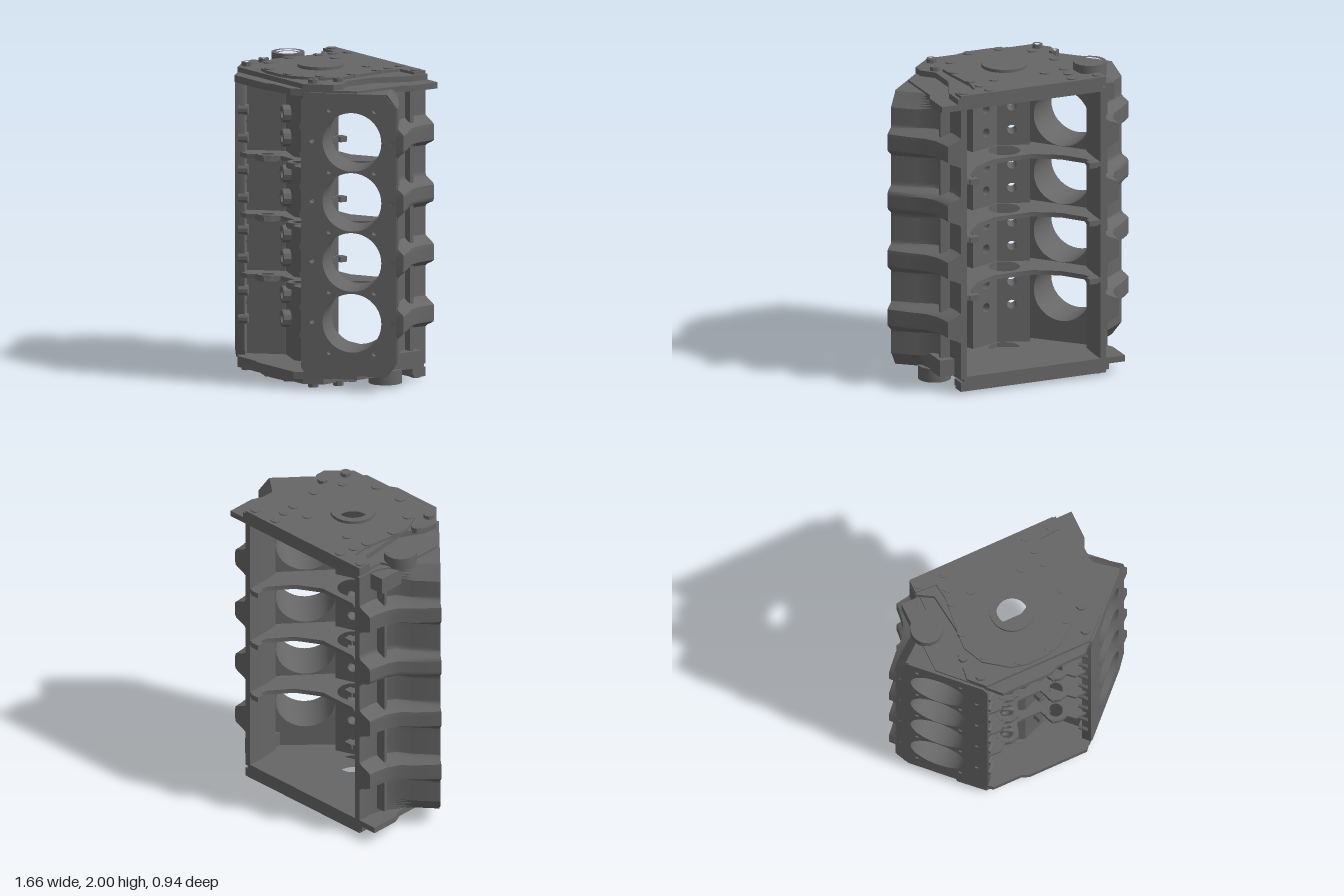
import * as THREE from 'three';
import { toCreasedNormals } from 'three/addons/utils/BufferGeometryUtils.js';

const BORES = [0.44, 0.83, 1.215, 1.6];
const WEBS = [0.635, 1.02, 1.405];

export function createModel() {
  const root = new THREE.Group();
  root.name = 'engineBlock';
  const iron = new THREE.MeshStandardMaterial({ color: 0x666666 });
  iron.name = 'castIron';

  const add = (name, geo) => {
    const m = new THREE.Mesh(toCreasedNormals(geo, 0.6), iron);
    m.name = name;
    root.add(m);
  };
  // mirrored copy across x with the winding put right
  const mirror = (src) => {
    const g = src.index ? src.toNonIndexed() : src.clone();
    g.scale(-1, 1, 1);
    for (const a of Object.values(g.attributes)) {
      const n = a.itemSize;
      for (let i = 0; i < a.count; i += 3) {
        for (let k = 0; k < n; k++) {
          const p = (i + 1) * n + k, q = (i + 2) * n + k, t = a.array[p];
          a.array[p] = a.array[q];
          a.array[q] = t;
        }
      }
    }
    return g;
  };
  const addPair = (name, geo) => {
    add(name + 'Left', geo);
    add(name + 'Right', mirror(geo));
  };
  const extrude = (pts, holes, depth) => {
    const s = new THREE.Shape(pts.map((p) => new THREE.Vector2(...p)));
    for (const [x, y, r] of holes) s.holes.push(new THREE.Path().absarc(x, y, r, 0, Math.PI * 2, true));
    const curveSegments = holes.some((h) => h[2] > 0.05) ? 28 : 10;
    return new THREE.ExtrudeGeometry(s, { depth, bevelEnabled: false, curveSegments });
  };
  // horizontal plate from an x,z outline
  const slab = (pts, y0, y1, holes = []) =>
    extrude(pts.map(([x, z]) => [x, -z]), holes.map(([x, z, r]) => [x, -z, r]), y1 - y0)
      .rotateX(-Math.PI / 2).translate(0, y0, 0);
  const circle = (x, z, r, n) => Array.from({ length: n }, (_, i) =>
    [x + r * Math.cos(i / n * Math.PI * 2), z + r * Math.sin(i / n * Math.PI * 2)]);
  const ring = (x, z, R, r, y0, y1, n = 28) => slab(circle(x, z, R, n), y0, y1, [[x, z, r]]);
  const box = (w, h, d, x, y, z) => new THREE.BoxGeometry(w, h, d).translate(x, y, z);

  // Cylinder banks: deck plate and bored block, set at 45 degrees
  const toBank = (g, lz) => g.translate(0, 0, lz).rotateY(Math.PI / 4);
  const bores = BORES.map((y) => [0.297, y, 0.188]);
  const bolts = [];
  for (const y of BORES) bolts.push([0.04, y, 0.014], [0.555, y, 0.014]);
  for (const y of [0.245, ...WEBS, 1.8]) bolts.push([0.15, y, 0.014], [0.44, y, 0.014]);
  const deck = [[-0.03, 0.15], [0.0, 0.1], [0.5, 0.1], [0.58, 0.19], [0.58, 1.82], [0.5, 1.91], [0, 1.91], [-0.03, 1.86]];
  addPair('deck', toBank(extrude(deck, [...bores, ...bolts], 0.06), 0.48));
  const block = [[0.05, 0.1], [0.5, 0.1], [0.5, 1.91], [0.05, 1.91]];
  addPair('cylinderBlock', toBank(extrude(block, bores, 0.25), 0.235));

  // Bolt ears at the outer deck edge, and pushrod lugs at the inner edge
  for (const y of BORES) {
    const ear = new THREE.CylinderGeometry(0.07, 0.05, 0.1, 16).rotateX(Math.PI / 2).translate(0.56, y, 0);
    addPair('deckEar', toBank(ear, 0.485));
    for (const d of [-0.09, 0.09]) {
      const lug = new THREE.CylinderGeometry(0.035, 0.035, 0.06, 10).rotateX(Math.PI / 2).translate(-0.01, y + d, 0);
      addPair('pushrodLug', toBank(lug, 0.49));
    }
  }

  // Crankcase side walls, swelling into a rib at each cylinder
  const hollow = [[0.793, -0.037], [0.66, -0.145], [0.57, -0.2], [0.52, -0.28], [0.5, -0.36], [0.5, -0.46]];
  const rib = [[0.83, -0.06], [0.74, -0.16], [0.65, -0.245], [0.61, -0.32], [0.595, -0.4], [0.59, -0.46]];
  const inner = [[0.72, 0.03], [0.62, -0.07], [0.53, -0.16], [0.47, -0.22], [0.46, -0.36], [0.46, -0.46]];
  const pos = [], idx = [], rows = 120, n = 12;
  for (let j = 0; j <= rows; j++) {
    const y = 0.1 + 1.81 * j / rows;
    const d = Math.min(...BORES.map((b) => Math.abs(b - y)));
    const w = 1 - THREE.MathUtils.smoothstep(d, 0.05, 0.1);
    // the deck corners are cut back at both ends
    const cut = Math.max(0, 0.09 - Math.min(y - 0.1, 1.91 - y)) * 0.52;
    hollow.forEach(([x, z], i) => {
      const c = i < 2 ? cut : 0;
      pos.push(x + (rib[i][0] - x) * w - c, y, z + (rib[i][1] - z) * w + c);
    });
    [...inner].reverse().forEach(([x, z]) => pos.push(x, y, z));
  }
  for (let j = 0; j < rows; j++) {
    for (let i = 0; i < n; i++) {
      const a = j * n + i, b = j * n + (i + 1) % n;
      idx.push(a, b, b + n, a, b + n, a + n);
    }
  }
  for (let i = 0; i < 5; i++) {
    const a = i, b = i + 1, c = n - 2 - i, d = n - 1 - i, t = rows * n;
    idx.push(a, c, b, a, d, c, t + a, t + b, t + c, t + a, t + c, t + d);
  }
  const skirt = new THREE.BufferGeometry();
  skirt.setAttribute('position', new THREE.Float32BufferAttribute(pos, 3));
  skirt.setIndex(idx);
  addPair('crankcaseWall', skirt);
  for (const y of [0.28, ...WEBS, 1.76]) addPair('wallStiffener', box(0.09, 0.27, 0.025, 0.53, y, -0.3));

  // Lifter gallery: two tilted bored plates meeting in a ridge, with raised collars
  const tilt = (g, z) => g.translate(0, 0, z).rotateY(0.36).translate(0, 0, 0.2);
  const lifters = BORES.flatMap((y) => [[0.125, y - 0.077, 0.03], [0.125, y + 0.077, 0.03]]);
  const plate = [[0, 0.08], [0.24, 0.08], [0.24, 1.92], [0, 1.92]];
  addPair('lifterGallery', tilt(extrude(plate, lifters, 0.08), -0.08));
  for (const [x, y, r] of lifters) {
    addPair('lifterCollar', tilt(extrude(circle(x, y, 0.056, 10), [[x, y, r]], 0.06), -0.01));
  }

  // Bearing webs with cam bore, valley pads and a deep arched lower edge
  const half = [[0.13, -0.14], [0.29, -0.23], [0.4, -0.37], [0.41, -0.46], [0.48, -0.46], [0.48, -0.2], [0.2, 0.12],
    [0.39, 0.33], [0.35, 0.38], [0.26, 0.385], [0.22, 0.35], [0.12, 0.35], [0.08, 0.25]];
  const flip = (pts) => [...pts].reverse().map(([x, z]) => [-x, z]);
  for (const y of WEBS) {
    add('bearingWeb', slab([...half, ...flip(half)], y - 0.015, y + 0.015, [[0, 0, 0.1], [0.17, 0.285, 0.045], [-0.17, 0.285, 0.045]]));
    addPair('webPad', ring(0.17, 0.285, 0.075, 0.045, y - 0.02, y + 0.02, 12));
    addPair('capDowel', box(0.06, 0.035, 0.05, 0.41, y, -0.447));
  }

  // End walls: thin base, stepped flange, cover face, bolt bosses and accessory boss
  const wide = [[0.63, -0.46], [0.63, -0.27], [0.6, -0.2], [0.6, 0.14], [0.36, 0.385]];
  const cutBase = [[0.48, -0.46], [0.48, -0.25], [0.6, -0.2], [0.6, 0.14], [0.36, 0.385]];
  const flangePlain = [[0.52, -0.46], [0.52, -0.32], [0.43, -0.1], [0.43, 0.1], [0.5, 0.18], [0.5, 0.25], [0.36, 0.385]];
  const flangeCut = [[0.5, -0.46], [0.5, -0.36], [0.4, -0.3], [0.36, 0.05], [0.44, 0.2], [0.45, 0.29], [0.36, 0.385]];
  const cover = [[0.5, -0.46], [0.5, -0.37], [0.36, -0.36], [0.345, -0.25], [0.375, 0], [0.38, 0.1], [0.32, 0.23],
    [0.17, 0.34], [0.07, 0.365]];
  const bossHalf = [[0.46, -0.41], [0.285, -0.41], [0.305, -0.31], [0.32, -0.21], [0.345, 0], [0.41, 0.15],
    [0.285, 0.2], [0.105, 0.32], [0.175, -0.235], [0.365, 0.31]];
  const cam = [[0, 0, 0.1]];
  for (const top of [true, false]) {
    const Y = (a, b) => (top ? [a, b] : [2 - b, 2 - a]);
    const end = top ? 'rear' : 'front';
    const s = top ? -1 : 1;
    const sides = (plain, cut) => (top ? [...plain, ...flip(cut)] : [...cut, ...flip(plain)]);
    add(end + 'Wall', slab(sides(wide, cutBase), ...Y(1.885, 1.925), cam));
    add(end + 'Flange', slab(sides(flangePlain, flangeCut), ...Y(1.92, 1.962), cam));
    add(end + 'CoverFace', slab([...cover, ...flip(cover)], ...Y(1.955, 1.98), cam));
    add(end + 'CamCollar', ring(0, 0, 0.145, 0.1, ...Y(1.97, 2)));
    for (const [x, z] of bossHalf) addPair(end + 'BoltBoss', ring(x, z, 0.034, 0.015, ...Y(1.95, 1.987), 8));

    add(end + 'AccessoryBoss', ring(s * 0.535, -0.125, 0.105, 0.075, ...Y(1.89, 1.98)));
    add(end + 'AccessoryBossLip', ring(s * 0.535, -0.125, 0.085, 0.065, ...Y(1.9, 1.97)));
    const [p0, p1] = Y(1.79, 1.9);
    add(end + 'AccessoryPad', box(0.11, p1 - p0, 0.28, s * 0.545, (p0 + p1) / 2, -0.22));

    // stepped valley lip
    const lip = top
      ? [[-0.38, 0.36], [0.38, 0.36], [0.3, 0.44], [0.11, 0.44], [0.06, 0.465], [-0.28, 0.465]]
      : [[-0.38, 0.36], [0.38, 0.36], [0.32, 0.43], [-0.08, 0.43], [-0.13, 0.41], [-0.32, 0.41]];
    add(end + 'ValleyLip', slab(lip, ...Y(1.885, 1.93)));
  }
  return root;
}
